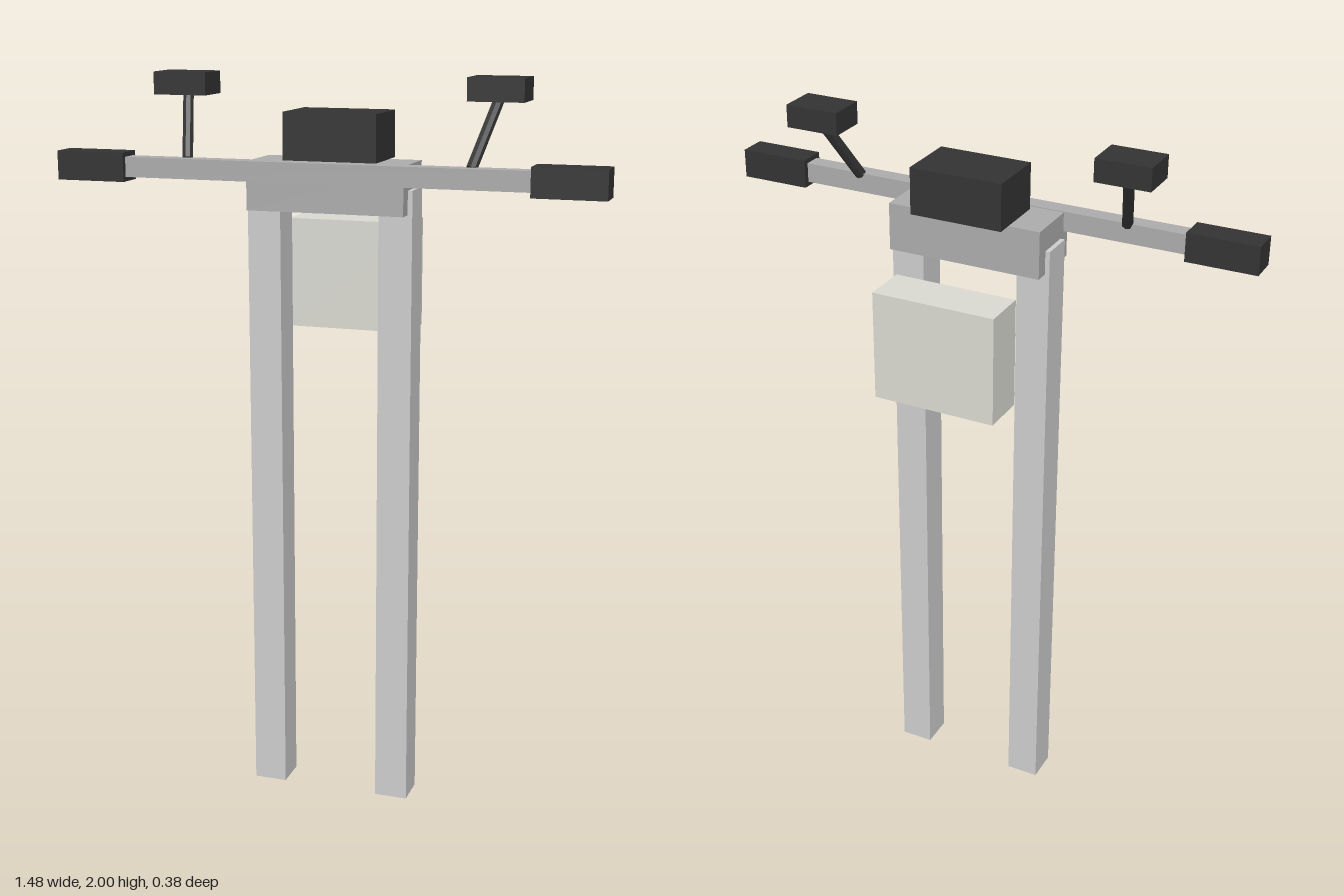
import * as THREE from 'three';

const mat = (color) => new THREE.MeshStandardMaterial({ color, flatShading: true });

export function createModel() {
  const group = new THREE.Group();
  const legGrey = mat(0xcccccc);
  const metal = mat(0xaaaaaa);
  const dark = mat(0x333333);
  const pale = mat(0xd8d8d0);

  const add = (name, geometry, material, x, y, z) => {
    const mesh = new THREE.Mesh(geometry, material);
    mesh.name = name;
    mesh.position.set(x, y, z);
    group.add(mesh);
    return mesh;
  };
  const box = (name, material, w, h, d, x, y, z) =>
    add(name, new THREE.BoxGeometry(w, h, d), material, x, y, z);

  // Central parts: clamp, crossbar, instrument box and rear panel
  box('forkClamp', metal, 0.428, 0.128, 0.17, 0, 1.716, 0.067);
  box('handlebar', metal, 1.2, 0.053, 0.047, 0, 1.756, 0.151);
  box('instrumentBox', dark, 0.255, 0.125, 0.17, 0, 1.843, 0.024);
  box('rearPanel', pale, 0.344, 0.3, 0.127, 0, 1.456, -0.125);

  // Mirrored parts
  for (const [side, s] of [['left', 1], ['right', -1]]) {
    box(side + 'ForkLeg', legGrey, 0.091, 1.715, 0.092, s * 0.181, 0.8575, 0.065);
    box(side + 'Grip', dark, 0.192, 0.077, 0.077, s * 0.645, 1.756, 0.15);
    box(side + 'Mirror', dark, 0.148, 0.06, 0.106, s * 0.43, 1.97, 0.024);

    // Slanted stem from the bar to the mirror
    const foot = new THREE.Vector3(s * 0.386, 1.778, 0.134);
    const head = new THREE.Vector3(s * 0.43, 1.955, 0.015);
    const axis = head.clone().sub(foot);
    const mid = foot.clone().add(head).multiplyScalar(0.5);
    const stem = add(side + 'MirrorStem', new THREE.CylinderGeometry(0.015, 0.015, axis.length(), 8), dark, mid.x, mid.y, mid.z);
    stem.quaternion.setFromUnitVectors(new THREE.Vector3(0, 1, 0), axis.normalize());
  }
  return group;
}
